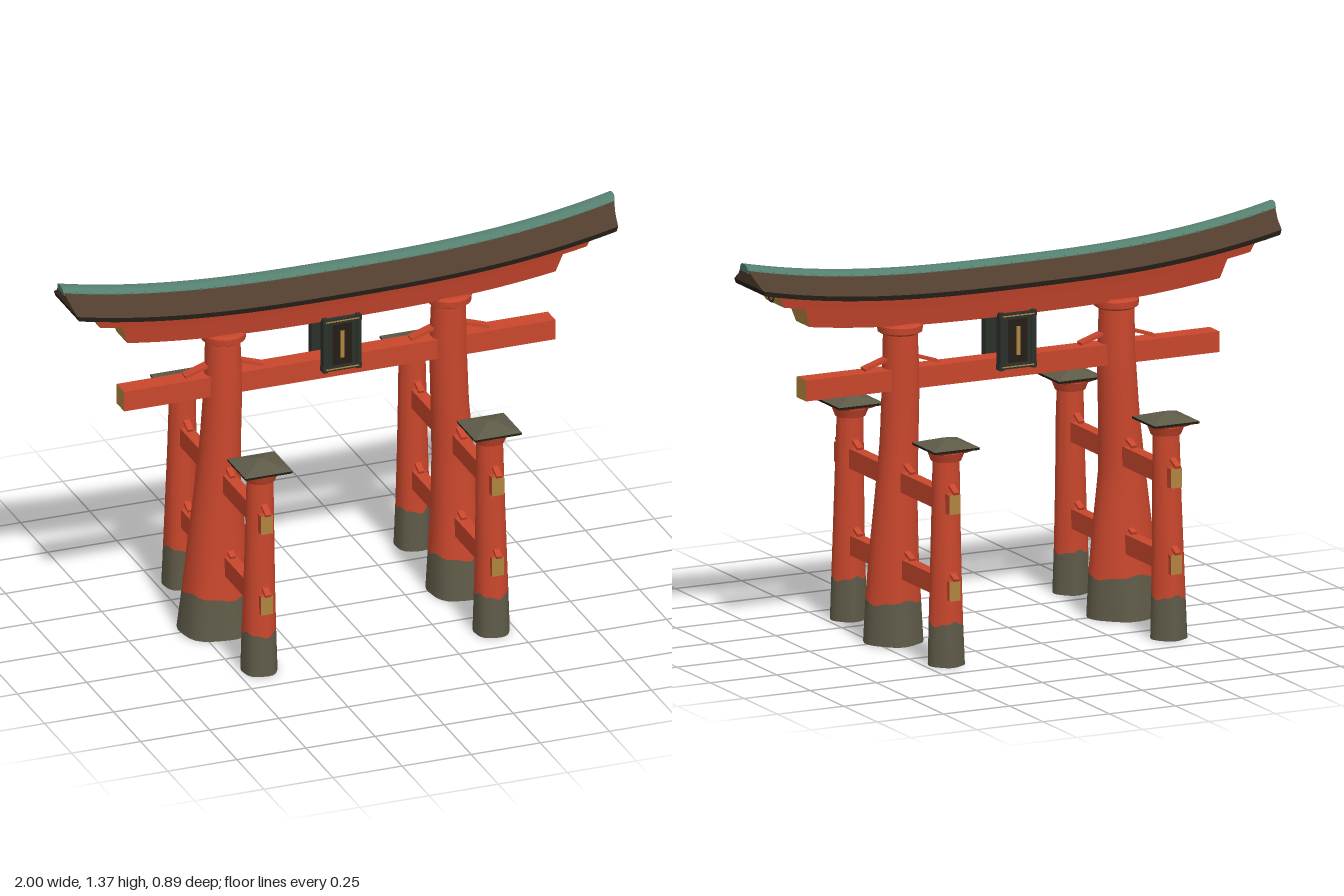
import * as THREE from 'three';
import { toCreasedNormals } from 'three/addons/utils/BufferGeometryUtils.js';

const mat = (name, color) => Object.assign(new THREE.MeshStandardMaterial({ color }), { name });

export function createModel() {
  const red = mat('vermilion wood', 0xc8462c);
  const stone = mat('weathered grey', 0x5e5a48);
  const brown = mat('roof brown', 0x503d2d);
  const dark = mat('eave black', 0x241d17);
  const green = mat('copper green', 0x55806f);
  const gold = mat('gold end', 0xb0843f);
  const slate = mat('plaque slate', 0x2b302a);

  const model = new THREE.Group();
  const add = (name, geometry, material, x = 0, y = 0, z = 0, parent = model) => {
    const mesh = new THREE.Mesh(geometry, material);
    mesh.name = name;
    mesh.position.set(x, y, z);
    parent.add(mesh);
    return mesh;
  };
  const box = (name, w, h, d, material, x, y, z, parent) =>
    add(name, new THREE.BoxGeometry(w, h, d), material, x, y, z, parent);

  // Upward sweep of the roof and lintels
  const lift = (x) => 0.085 * Math.pow(Math.abs(x), 2.7);

  // Beam along x: half section [z, y] from bottom to top, bent upward, with raked ends
  function curvedBeam(name, half, endLow, endHigh, sideMat, endMat) {
    const points = [...half, ...half.slice().reverse().map(([z, y]) => [-z, y])];
    const shape = new THREE.Shape(points.map(([z, y]) => new THREE.Vector2(z, y)));
    const g = new THREE.ExtrudeGeometry(shape, { depth: 2, steps: 40, bevelEnabled: false });
    g.translate(0, 0, -1).rotateY(Math.PI / 2);
    const y0 = half[0][1], y1 = half[half.length - 1][1];
    const p = g.attributes.position;
    for (let i = 0; i < p.count; i++) {
      const y = p.getY(i);
      const x = p.getX(i) * THREE.MathUtils.lerp(endLow, endHigh, (y - y0) / (y1 - y0));
      p.setXYZ(i, x, y + lift(x), p.getZ(i));
    }
    add(name, toCreasedNormals(g, 0.4), [endMat, sideMat]);
  }

  curvedBeam('lowerLintel', [[0.05, 1.095], [0.065, 1.168]], 0.775, 0.80, red, gold);
  curvedBeam('upperLintel', [[0.068, 1.16], [0.08, 1.21]], 0.88, 0.905, red, gold);
  curvedBeam('eaves', [[0.11, 1.2], [0.11, 1.216]], 0.972, 0.978, dark, dark);
  curvedBeam('roofSlopes', [[0.11, 1.216], [0.065, 1.24], [0.028, 1.27]], 0.978, 0.995, brown, brown);
  curvedBeam('ridge', [[0.03, 1.258], [0.03, 1.27], [0.018, 1.284], [0.006, 1.287]], 0.994, 1, green, green);

  // Tile joints along the ridge
  for (let i = -19; i <= 19; i++) {
    const x = i * 0.05;
    const rib = box('ridgeTileJoint', 0.006, 0.016, 0.063, green, x, 1.266 + lift(x), 0);
    rib.rotation.z = Math.sign(x) * 0.23 * Math.pow(Math.abs(x), 1.7);
  }

  // Ring ornaments on the lintel ends
  for (const s of [-1, 1])
    add('endRing', new THREE.TorusGeometry(0.018, 0.003, 6, 24), dark, s * 0.895, 1.184 + lift(0.895), 0)
      .rotation.set(0, Math.PI / 2, 0);

  // Column section at height y, from rows [y, centreX, centreZ, radiusX, radiusZ]
  function sectionAt(rows, y) {
    let i = 0;
    while (i < rows.length - 2 && y > rows[i + 1][0]) i++;
    const a = rows[i], b = rows[i + 1];
    const t = (y - a[0]) / (b[0] - a[0]);
    return a.map((v, k) => THREE.MathUtils.lerp(v, b[k], t));
  }
  const foot = (a) => 0.147 + 0.007 * Math.sin(3 * a) + 0.004 * Math.sin(7 * a + 1);

  // Tapering, slightly irregular trunk with a wavy grey foot
  function column(name, rows) {
    const top = rows[rows.length - 1][0];
    const loft = (part, low, high, segs, material) => {
      const g = new THREE.CylinderGeometry(1, 1, 1, 28, segs, true);
      const p = g.attributes.position;
      for (let i = 0; i < p.count; i++) {
        const a = Math.atan2(p.getZ(i), p.getX(i));
        const y = THREE.MathUtils.lerp(low(a), high(a), p.getY(i) + 0.5);
        const [, cx, cz, rx, rz] = sectionAt(rows, y);
        const k = 1 + 0.035 * Math.cos(5 * a + 0.6) * Math.max(0, 1 - y / 0.5);
        p.setXYZ(i, cx + rx * k * Math.cos(a), y, cz + rz * k * Math.sin(a));
      }
      add(name + part, toCreasedNormals(g, 0.9), material);
    };
    loft('Foot', () => 0, foot, 4, stone);
    loft('Shaft', foot, () => top, 16, red);
    const [, cx, cz, rx, rz] = rows[0];
    const base = add(name + 'Base', new THREE.CircleGeometry(1, 28), red, cx, 0.001, cz);
    base.scale.set(rx, rz, 1);
    base.rotation.x = Math.PI / 2;
  }

  column('rightPillar', [
    [0, -0.435, 0, 0.130, 0.121], [0.15, -0.43, 0, 0.118, 0.105], [0.3, -0.43, 0, 0.104, 0.092],
    [0.5, -0.431, 0.002, 0.080, 0.079], [0.7, -0.42, 0.004, 0.069, 0.073],
    [0.9, -0.41, 0.003, 0.065, 0.067], [1.1, -0.41, 0, 0.059, 0.058]]);
  column('leftPillar', [
    [0, 0.43, 0.014, 0.100, 0.108], [0.15, 0.43, 0.012, 0.094, 0.092], [0.3, 0.43, 0.006, 0.085, 0.081],
    [0.5, 0.423, 0, 0.073, 0.070], [0.7, 0.411, 0, 0.065, 0.065],
    [0.9, 0.405, 0, 0.064, 0.062], [1.1, 0.407, 0, 0.058, 0.057]]);

  // Thin sloping wedge in the XY plane, from low outer end to high inner end
  function wedge(parent, x0, y0, x1, y1, width) {
    const w = box('wedge', Math.hypot(x1 - x0, y1 - y0), 0.01, width, red, (x0 + x1) / 2, (y0 + y1) / 2, 0, parent);
    w.rotation.z = Math.atan((y1 - y0) / (x1 - x0));
  }
  // Straight tie beam with gold ends and wedges at the given posts [centre, outer, inner, rise]
  function tieBeam(name, half, y, h, d, posts) {
    const group = new THREE.Group();
    group.name = name;
    model.add(group);
    box(name + 'Body', half * 2, h, d, [gold, gold, red, red, red, red], 0, y, 0, group);
    const top = y + h / 2;
    for (const [c, outer, inner, rise] of posts)
      for (const s of [-1, 1])
        wedge(group, c + s * outer, top + 0.006, c + s * inner, top + rise, d * 0.5);
    return group;
  }
  tieBeam('mainTieBeam', 0.78, 0.913, 0.072, 0.07, [[-0.41, 0.14, 0.055, 0.034], [0.407, 0.14, 0.055, 0.034]]);

  // Square capped roof for the small posts
  const pyramid = (r0, r1, h) => new THREE.CylinderGeometry(r1 * Math.SQRT2, r0 * Math.SQRT2, h, 4).rotateY(Math.PI / 4).toNonIndexed();
  const flat = (g) => { g.computeVertexNormals(); return g; };

  for (const s of [-1, 1]) {
    const side = s < 0 ? 'right' : 'left';
    add(side + 'PillarCollar', toCreasedNormals(new THREE.LatheGeometry([
      [0, 1.068], [0.062, 1.068], [0.076, 1.076], [0.078, 1.098], [0.07, 1.107], [0, 1.107],
    ].map(([x, y]) => new THREE.Vector2(x, y)), 28), 0.7), red, s * 0.408);

    // Side tie beams running front to back
    for (const y of [0.265, 0.565]) {
      const beam = tieBeam(side + 'SideTieBeam', 0.43, y, 0.068, 0.042,
        [[-0.36, 0.083, 0.04, 0.027], [0, 0.115, 0.06, 0.027], [0.36, 0.083, 0.04, 0.027]]);
      beam.rotation.y = Math.PI / 2;
      beam.position.x = s * 0.418;
    }

    // Small posts front and back
    for (const f of [-1, 1]) {
      const name = side + (f > 0 ? 'Front' : 'Back') + 'Post';
      const x = s * 0.415, z = f * 0.357;
      column(name, [
        [0, s * 0.42, f * 0.365, 0.062, 0.065], [0.15, s * 0.42, f * 0.363, 0.058, 0.058],
        [0.3, s * 0.419, f * 0.362, 0.054, 0.053], [0.5, s * 0.417, f * 0.36, 0.050, 0.047],
        [0.72, x, f * 0.358, 0.046, 0.042]]);
      add(name + 'Collar', new THREE.CylinderGeometry(0.064, 0.052, 0.03, 24), red, x, 0.721, z);
      add(name + 'Bracket', flat(pyramid(0.05, 0.074, 0.014)), red, x, 0.741, z);
      add(name + 'Eave', flat(pyramid(0.084, 0.085, 0.008)), dark, x, 0.752, z);
      add(name + 'Roof', flat(pyramid(0.085, 0.012, 0.024)), stone, x, 0.768, z);
    }
  }

  // Plaques hung on the front and back of the lintel
  for (const f of [-1, 1]) {
    const plaque = new THREE.Group();
    plaque.name = f > 0 ? 'frontPlaque' : 'backPlaque';
    plaque.position.set(-0.004, 1.01, f * 0.056);
    plaque.rotation.y = f > 0 ? 0 : Math.PI;
    model.add(plaque);
    box('plaqueBoard', 0.13, 0.185, 0.02, slate, 0, 0, 0, plaque);
    box('plaquePanel', 0.07, 0.15, 0.004, dark, 0, 0, 0.011, plaque);
    box('plaqueInlay', 0.014, 0.1, 0.004, gold, 0, 0, 0.013, plaque);
    for (const s of [-1, 1]) {
      box('plaqueStile', 0.016, 0.2, 0.028, slate, s * 0.06, 0, 0, plaque);
      box('plaqueRail', 0.142, 0.016, 0.028, slate, 0, s * 0.088, 0, plaque);
      box('plaqueTrim', 0.12, 0.004, 0.004, gold, 0, s * 0.088, 0.014, plaque);
    }
  }
  return model;
}
